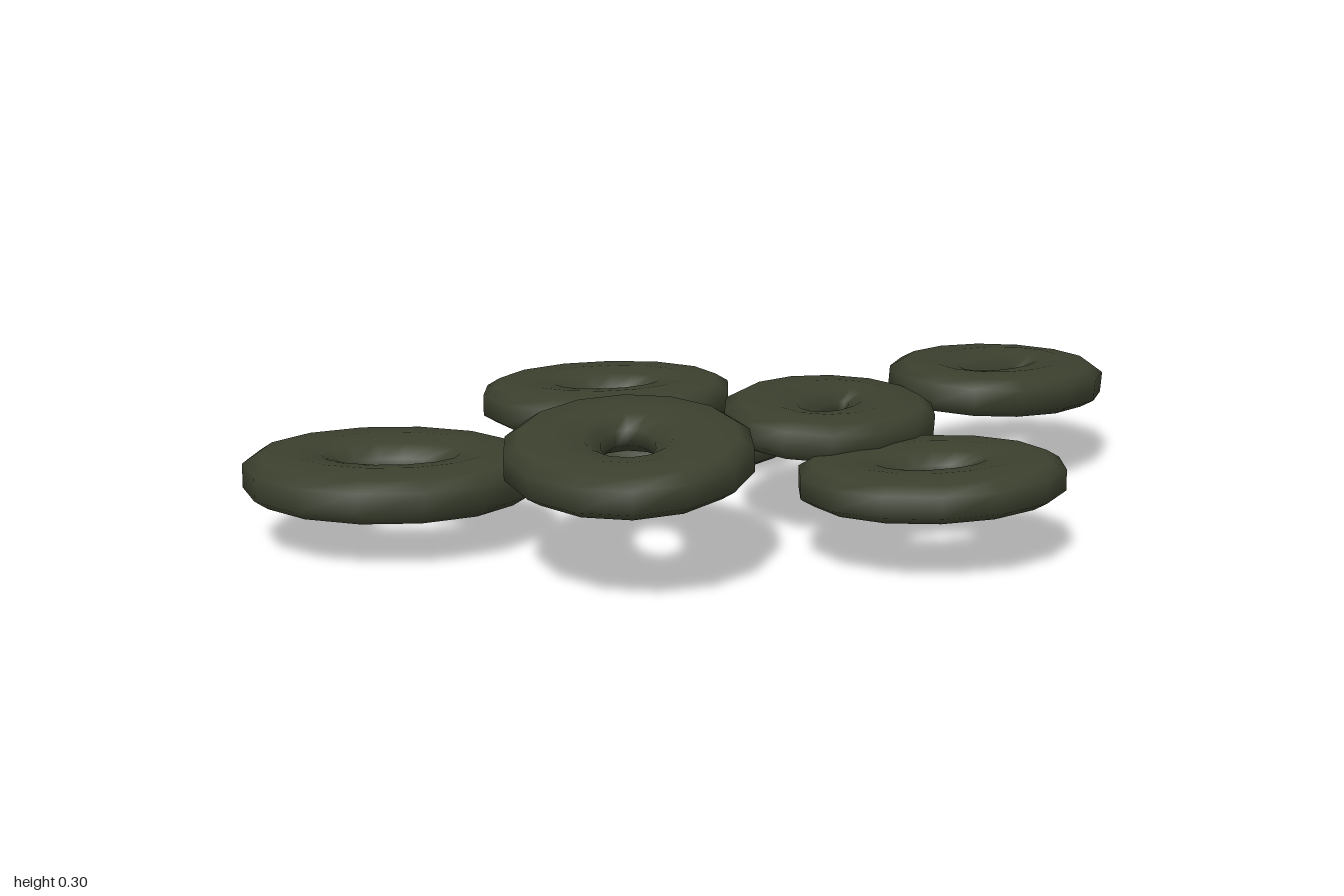
import * as THREE from 'three';
import { mergeVertices } from 'three/addons/utils/BufferGeometryUtils.js';

const SEGMENTS = 14, SIDES = 10, TUBE = 0.1;

// Oval ring with a flattened, slightly boxy tube; a and b are the outer half-lengths
function ringGeometry(a, b, thickness) {
  const g = new THREE.TorusGeometry(1, 0.3, SIDES, SEGMENTS);
  const pos = g.attributes.position, uv = g.attributes.uv;
  for (let i = 0; i < pos.count; i++) {
    const around = (Math.round(uv.getX(i) * SEGMENTS) % SEGMENTS) / SEGMENTS * Math.PI * 2;
    const section = (Math.round(uv.getY(i) * SIDES) % SIDES + 0.5) / SIDES * Math.PI * 2;
    const c = Math.cos(section), s = Math.sin(section);
    // outer side is squarer, the hole side slopes in like a funnel
    const power = c > 0 ? 0.6 : 0.9;
    const reach = TUBE * (c > 0 ? Math.pow(c / Math.cos(Math.PI / SIDES), 0.7) * 1.0 : c);
    pos.setXYZ(i,
      (a - TUBE + reach) * Math.cos(around),
      (b - TUBE + reach) * Math.sin(around),
      Math.sign(s) * Math.pow(Math.abs(s), power) * thickness / 2);
  }
  g.deleteAttribute('normal');
  g.deleteAttribute('uv');
  const merged = mergeVertices(g, 1e-5);
  merged.computeVertexNormals();
  merged.rotateX(-Math.PI / 2);
  return merged;
}

export function createModel() {
  const group = new THREE.Group();
  group.name = 'scatteredRings';
  const material = new THREE.MeshStandardMaterial({ color: 0x3b402e });

  // centre, outer half-lengths, thickness, turn in degrees, tilt about x and z
  const rings = [
    { at: [-0.70, 0.144, 0.05], a: 0.302, b: 0.245, t: 0.102, turn: -8, tilt: [0.01, -0.02] },
    { at: [-0.185, 0.215, -0.20], a: 0.277, b: 0.232, t: 0.09, turn: 0, tilt: [-0.01, 0] },
    { at: [-0.275, 0.24, 0.38], a: 0.305, b: 0.25, t: 0.095, turn: 78, tilt: [0.045, 0.03] },
    { at: [0.035, 0.052, -0.45], a: 0.28, b: 0.228, t: 0.085, turn: -14, tilt: [0.03, 0.035] },
    { at: [0.725, 0.21, -0.165], a: 0.315, b: 0.22, t: 0.093, turn: 40, tilt: [-0.02, -0.085] },
    { at: [0.235, 0.214, 0.095], a: 0.295, b: 0.22, t: 0.09, turn: 53, tilt: [0, -0.075] },
    { at: [0.335, 0.165, 0.45], a: 0.277, b: 0.232, t: 0.088, turn: 0, tilt: [-0.015, 0.01] },
  ];

  rings.forEach(({ at, a, b, t, turn, tilt }, i) => {
    const ring = new THREE.Mesh(ringGeometry(a, b, t), material);
    ring.name = `ring${i + 1}`;
    ring.position.set(...at);
    ring.rotation.set(tilt[0], THREE.MathUtils.degToRad(turn), tilt[1], 'XZY');
    group.add(ring);
  });
  return group;
}
